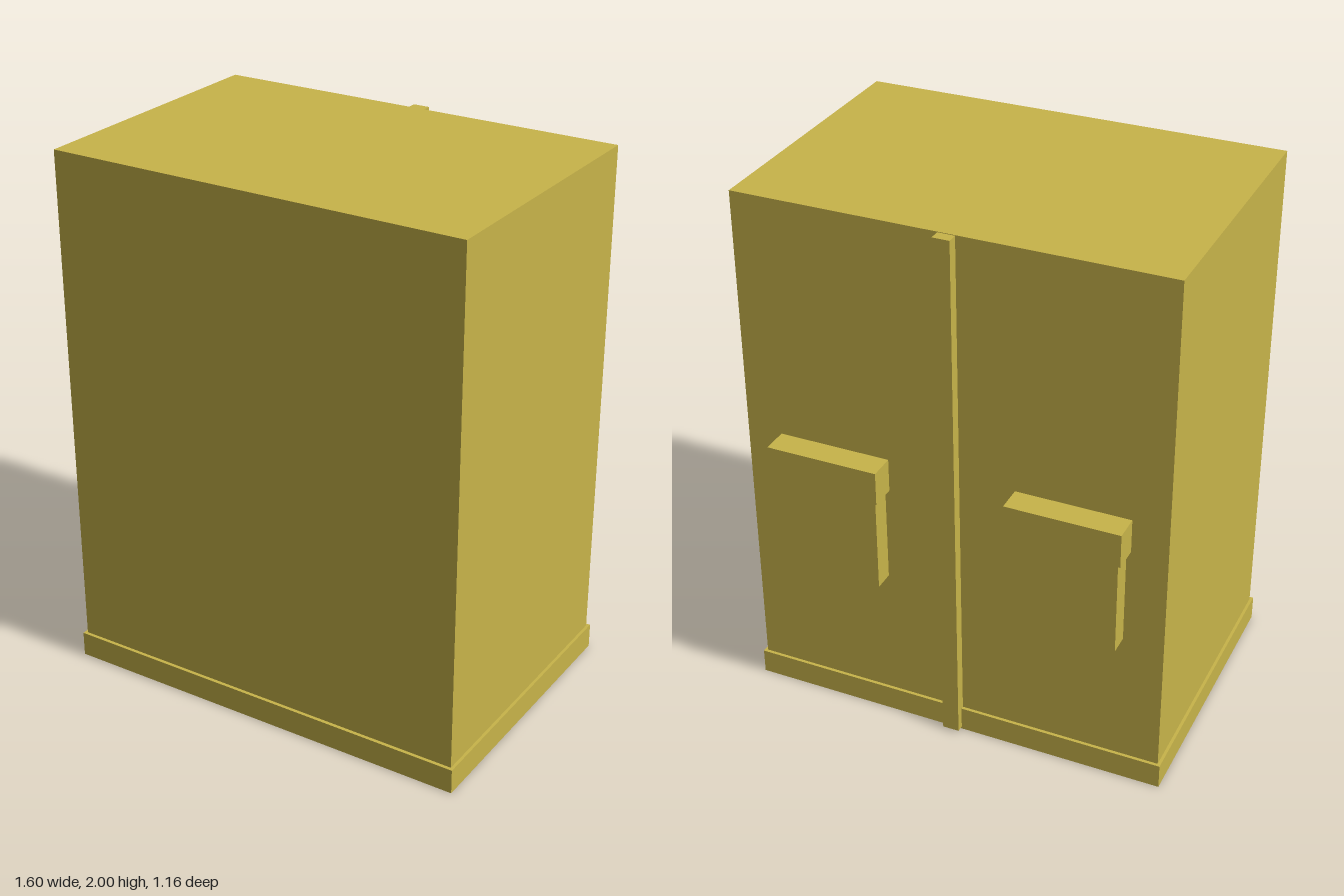
import * as THREE from 'three';

export function createModel() {
  const model = new THREE.Group();
  model.name = 'cabinet';
  const ochre = new THREE.MeshStandardMaterial({ color: 0xc8b44a });
  ochre.name = 'ochre';

  // Box given by its lower and upper limits on each axis
  const box = (name, [x0, x1], [y0, y1], [z0, z1], parent = model) => {
    const mesh = new THREE.Mesh(new THREE.BoxGeometry(x1 - x0, y1 - y0, z1 - z0), ochre);
    mesh.position.set((x0 + x1) / 2, (y0 + y1) / 2, (z0 + z1) / 2);
    mesh.name = name;
    parent.add(mesh);
  };

  // Main housing on a slightly wider plinth
  box('body', [-0.787, 0.787], [0.05, 2], [-0.482, 0.567]);
  box('plinth', [-0.798, 0.798], [0, 0.094], [-0.494, 0.58]);

  // Vertical strip covering the door seam at the back
  box('seamStrip', [-0.031, 0.031], [0.01, 1.998], [-0.522, -0.47]);

  // One hooded vent on each door
  for (const side of [-1, 1]) {
    const vent = new THREE.Group();
    vent.name = side > 0 ? 'leftVent' : 'rightVent';
    const cx = side * 0.446;
    box('ventBox', [cx - 0.193, cx + 0.193], [0.603, 0.975], [-0.558, -0.47], vent);
    box('ventHood', [cx - 0.209, cx + 0.209], [0.97, 1.096], [-0.58, -0.47], vent);
    model.add(vent);
  }
  return model;
}
